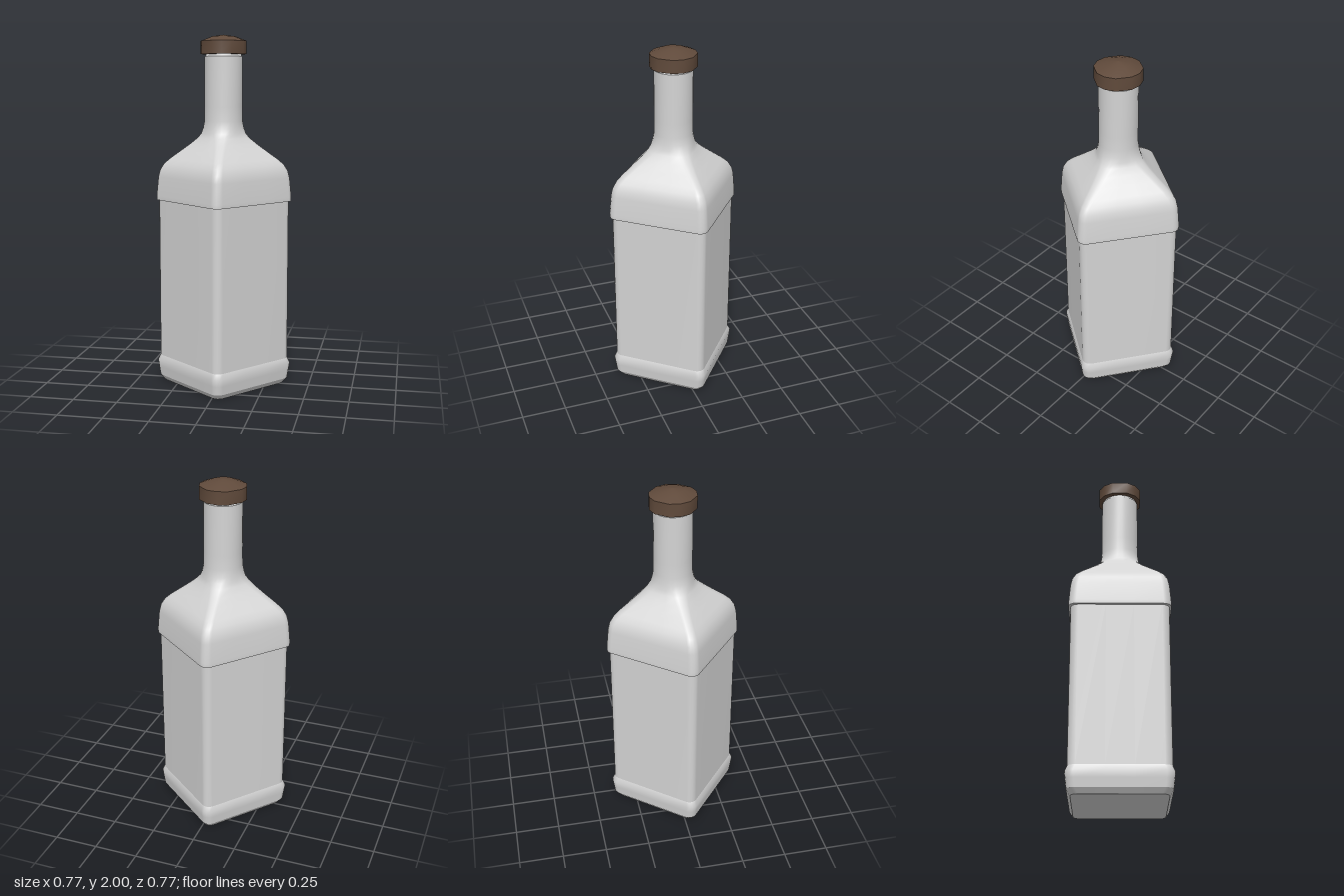
import * as THREE from 'three';

const DEG = Math.PI / 180;

// Unit cross-sections as [x, z] loops running counter-clockwise seen from the side.
// Rounded square whose corners reach a distance of 1.
function roundedSquare(radius = 0.16, arcSteps = 4) {
  const pts = [];
  const reach = Math.SQRT2 - radius * (Math.SQRT2 - 1);
  const c = 1 - radius;
  for (let side = 0; side < 4; side++) {
    const local = [[-c / 3, 1], [c / 3, 1]];
    for (let i = 0; i <= arcSteps; i++) {
      const a = (i / arcSteps) * Math.PI / 2;
      local.push([c + radius * Math.sin(a), c + radius * Math.cos(a)]);
    }
    const t = side * Math.PI / 2;
    for (const [x, z] of local) {
      pts.push([
        (x * Math.cos(t) + z * Math.sin(t)) / reach,
        (z * Math.cos(t) - x * Math.sin(t)) / reach,
      ]);
    }
  }
  return pts;
}

const square = roundedSquare();
const circle = square.map((_, i) => {
  const a = ((i - 0.5) / square.length) * 2 * Math.PI;
  return [Math.sin(a), Math.cos(a)];
});
// Uneven twelve-sided outline of the stopper
const twelveSided = [];
for (let side = 0; side < 4; side++) {
  for (const a of [-19, 19, 45]) {
    const t = (a + side * 90) * DEG;
    twelveSided.push([Math.sin(t), Math.cos(t)]);
  }
}

// Smooth skin through rows of [y, reach, roundness]; roundness blends from loop a to loop b.
function loft(rows, a = square, b = circle) {
  const n = a.length, pos = [], idx = [];
  for (const [y, reach, t = 0] of rows) {
    for (let i = 0; i < n; i++) {
      pos.push(reach * (a[i][0] * (1 - t) + b[i][0] * t), y,
        reach * (a[i][1] * (1 - t) + b[i][1] * t));
    }
  }
  for (let r = 0; r < rows.length - 1; r++) {
    for (let i = 0; i < n; i++) {
      const j = (i + 1) % n, lo = r * n, hi = lo + n;
      if (rows[r][1] > 0) idx.push(lo + i, lo + j, hi + j);
      if (rows[r + 1][1] > 0) idx.push(lo + i, hi + j, hi + i);
      else if (rows[r][1] === 0) idx.push(lo + i, hi + j, hi + i);
    }
  }
  const g = new THREE.BufferGeometry();
  g.setAttribute('position', new THREE.Float32BufferAttribute(pos, 3));
  g.setIndex(idx);
  g.computeVertexNormals();
  return g;
}

export function createModel() {
  const glass = new THREE.MeshStandardMaterial({ color: 0xd4d4d4 });
  glass.name = 'paleGlass';
  const wood = new THREE.MeshStandardMaterial({ color: 0x604a3b });
  wood.name = 'brownStopper';

  const bottle = new THREE.Group();
  bottle.name = 'bottle';
  bottle.rotation.y = -39.5 * DEG;
  const add = (name, material, geometry) => {
    const mesh = new THREE.Mesh(geometry, material);
    mesh.name = name;
    bottle.add(mesh);
  };

  // Foot: underside, chamfer and the raised band, with sharp edges between them
  add('underside', glass, loft([[0, 0], [0, 0.345]]));
  add('footChamfer', glass, loft([[0, 0.345], [0.03, 0.373]]));
  add('footBand', glass, loft([[0.03, 0.373], [0.08, 0.381], [0.12, 0.387], [0.15, 0.371]]));

  // Straight recessed body
  add('body', glass, loft([[0.15, 0.371], [1.065, 0.371]]));

  // Overhanging lip, shoulder and neck
  add('shoulderLip', glass, loft([[1.065, 0.371], [1.067, 0.386]]));
  add('shoulderAndNeck', glass, loft([
    [1.067, 0.386], [1.09, 0.387], [1.2, 0.376], [1.24, 0.365], [1.275, 0.343],
    [1.305, 0.308, 0.02], [1.35, 0.245, 0.1], [1.39, 0.19, 0.25], [1.425, 0.147, 0.5],
    [1.45, 0.127, 0.75], [1.48, 0.116, 0.92], [1.52, 0.108, 1], [1.6, 0.107, 1],
    [1.88, 0.107, 1],
  ]));
  add('neckRim', glass, loft([[1.88, 0.107, 1], [1.885, 0.1, 1], [1.9, 0.1, 1]]));

  // Stopper: underside, side wall and low dome
  const cap = (rows) => loft(rows, twelveSided, twelveSided);
  add('stopperUnderside', wood, cap([[1.893, 0], [1.893, 0.13]]));
  add('stopperSide', wood, cap([[1.893, 0.13], [1.966, 0.13]]));
  add('stopperDome', wood, cap([[1.966, 0.13], [1.991, 0.065], [2, 0]]));

  const model = new THREE.Group();
  model.name = 'squareBottle';
  model.add(bottle);
  return model;
}
